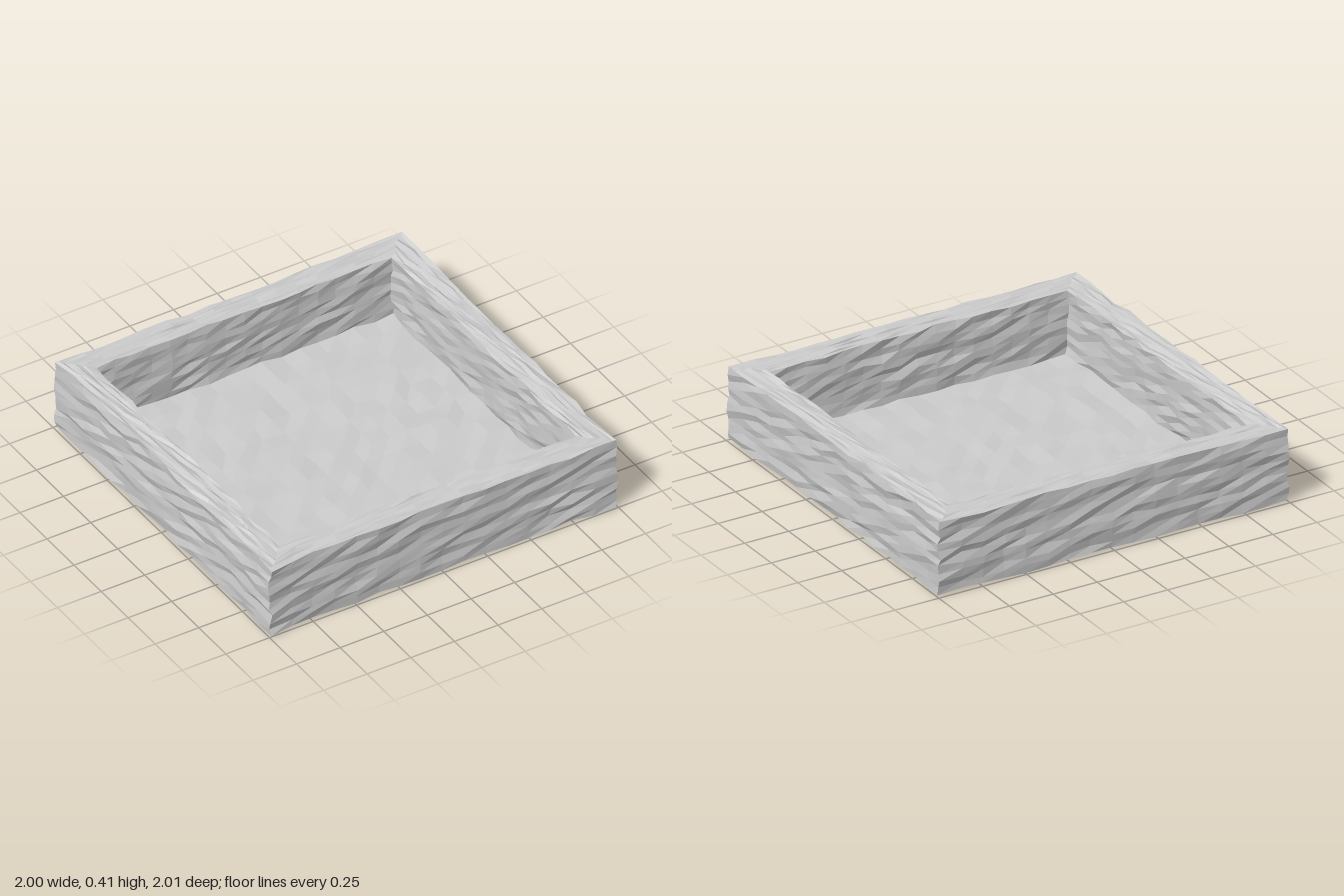
import * as THREE from 'three';

const SEG = 16;        // cells along each side
const OUT = 0.984;     // half width outside
const INN = 0.845;     // half width inside
const TOP = 0.408, FLOOR = 0.06, BASE = 0.012;

// Repeatable noise in -1..1 from a position, so touching parts share their edges
function noise(x, y, z, salt) {
  const key = Math.round(x * 1000) * 12.9898 + Math.round(y * 1000) * 78.233 +
    Math.round(z * 1000) * 37.719 + salt * 4.581;
  const s = Math.sin(key) * 43758.5453;
  return (s - Math.floor(s)) * 2 - 1;
}

// Roughen every vertex like hewn stone, with slightly flared corners
function roughen(geometry) {
  const p = geometry.attributes.position;
  for (let i = 0; i < p.count; i++) {
    const x = p.getX(i), y = p.getY(i), z = p.getZ(i);
    const flare = 1 + 0.012 * (x * z) ** 4;
    p.setXYZ(i,
      x * flare + 0.009 * noise(x, y, z, 1),
      y + 0.007 * noise(x, y, z, 2),
      z * flare + 0.009 * noise(x, y, z, 3));
  }
  const flat = geometry.toNonIndexed();
  flat.computeVertexNormals();
  return flat;
}

// Square ring swept through a list of [half width, height] rows
function ringGeometry(rows) {
  const loop = [];
  for (let side = 0; side < 4; side++) {
    for (let i = 0; i < SEG; i++) {
      const t = -1 + (2 * i) / SEG;
      loop.push([[t, 1], [1, -t], [-t, -1], [-1, t]][side]);
    }
  }
  const n = loop.length, positions = [], index = [];
  rows.forEach(([r, y], j) => {
    loop.forEach(([u, v], i) => {
      positions.push(u * r, y, v * r);
      if (j === rows.length - 1) return;
      const a = j * n + i, b = j * n + (i + 1) % n;
      index.push(a, b, b + n, a, b + n, a + n);
    });
  });
  const g = new THREE.BufferGeometry();
  g.setAttribute('position', new THREE.Float32BufferAttribute(positions, 3));
  g.setIndex(index);
  return roughen(g);
}

// Flat square sheet facing up (1) or down (-1)
function sheetGeometry(half, y, facing) {
  const g = new THREE.PlaneGeometry(half * 2, half * 2, SEG, SEG);
  g.rotateX(-facing * Math.PI / 2);
  g.translate(0, y, 0);
  g.deleteAttribute('uv');
  return roughen(g);
}

// Evenly spaced rows between two profile corners
function rowsBetween([r0, y0], [r1, y1], count) {
  return Array.from({ length: count + 1 }, (_, i) =>
    [r0 + (r1 - r0) * i / count, y0 + (y1 - y0) * i / count]);
}

export function createModel() {
  const group = new THREE.Group();
  group.name = 'stoneTray';
  const material = new THREE.MeshStandardMaterial({ color: 0xcccccc, flatShading: true });
  const add = (name, geometry) => {
    const mesh = new THREE.Mesh(geometry, material);
    mesh.name = name;
    group.add(mesh);
  };

  // Four walls: outer face, mitred rim, inner face
  add('outerWalls', ringGeometry(rowsBetween([OUT, BASE], [OUT, TOP], 10)));
  add('rim', ringGeometry(rowsBetween([OUT, TOP], [INN, TOP], 8)));
  add('innerWalls', ringGeometry(rowsBetween([INN, TOP], [INN, FLOOR], 9)));

  // Floor slab: top and underside
  add('floor', sheetGeometry(INN, FLOOR, 1));
  add('underside', sheetGeometry(OUT, BASE, -1));
  return group;
}
